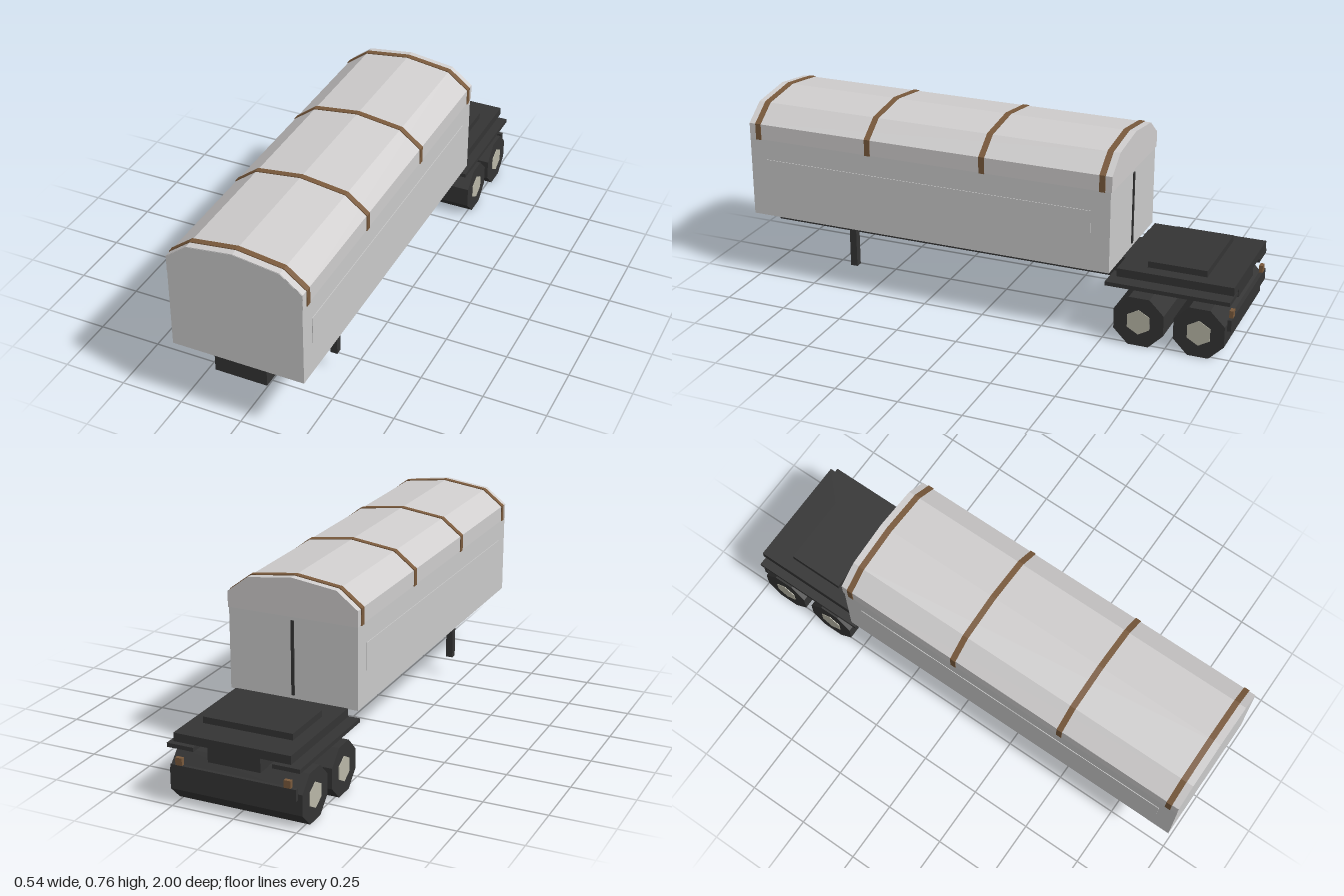
import * as THREE from 'three';

const mat = (name, color) => {
  const m = new THREE.MeshStandardMaterial({ color });
  m.name = name;
  return m;
};

export function createModel() {
  const group = new THREE.Group();
  const bodyGrey = mat('body grey', 0xcbcbcb);
  const tarpGrey = mat('tarp grey', 0xd0cece);
  const dark = mat('chassis black', 0x343434);
  const brown = mat('strap brown', 0x7a5a3c);
  const hubGrey = mat('hub grey', 0xbab8a8);

  const add = (name, geometry, material) => {
    const mesh = new THREE.Mesh(geometry, material);
    mesh.name = name;
    group.add(mesh);
    return mesh;
  };
  // Box from its low and high limits on each axis
  const box = (name, material, [x0, x1], [y0, y1], [z0, z1]) => {
    const mesh = add(name, new THREE.BoxGeometry(x1 - x0, y1 - y0, z1 - z0), material);
    mesh.position.set((x0 + x1) / 2, (y0 + y1) / 2, (z0 + z1) / 2);
    return mesh;
  };
  // Arched cross-section points, right to left, grown outwards by d
  const arch = (bottom, d = 0) => [
    [0.266 + d, bottom], [0.266 + d, 0.667 + d * 0.6], [0.181 + d * 0.6, 0.732 + d],
    [0, 0.756 + d], [-0.181 - d * 0.6, 0.732 + d], [-0.266 - d, 0.667 + d * 0.6], [-0.266 - d, bottom],
  ].map(([x, y]) => new THREE.Vector2(x, y));
  const extrude = (name, material, points, z0, z1) => {
    const geometry = new THREE.ExtrudeGeometry(new THREE.Shape(points), { depth: z1 - z0, bevelEnabled: false });
    geometry.translate(0, 0, z0);
    return add(name, geometry, material);
  };

  // Cargo body and arched tarp
  extrude('cargoBody', bodyGrey, arch(0.278, -0.002), -0.525, 1);
  extrude('tarp', tarpGrey, arch(0.604), -0.53, 0.999);

  // Straps across the tarp
  for (const z of [0.96, 0.476, -0.008, -0.492]) {
    const band = [...arch(0.602, 0.003), ...arch(0.602, -0.001).reverse()];
    extrude('strap', brown, band, z - 0.0115, z + 0.0115);
  }

  // Rear door seam
  box('doorSeam', dark, [-0.006, 0.006], [0.295, 0.59], [-0.53, -0.524]);

  // Chassis beam and rear deck
  box('chassisBeam', dark, [-0.105, 0.105], [0.194, 0.279], [-0.985, 0.98]);
  box('rearDeck', dark, [-0.233, 0.233], [0.257, 0.29], [-1, -0.545]);
  box('deckPlatform', dark, [-0.18, 0.18], [0.29, 0.315], [-0.882, -0.65]);
  box('rearBumper', dark, [-0.25, 0.25], [0.12, 0.165], [-1, -0.985]);

  // Paired parts on both sides
  for (const s of [-1, 1]) {
    const span = (a, b) => (s > 0 ? [a, b] : [-b, -a]);
    box('sidePanel', bodyGrey, span(0.262, 0.2665), [0.41, 0.52], [-0.45, 0.93]);
    box('landingLeg', dark, span(0.171, 0.2), [0.087, 0.279], [0.573, 0.602]);
    box('mudguard', dark, span(0.157, 0.265), [0.227, 0.243], [-0.995, -0.51]);
    box('rearLight', brown, span(0.203, 0.23), [0.165, 0.194], [-1, -0.985]);
  }

  // Octagonal tyre rollers with six-sided hubs
  for (const z of [-0.647, -0.882]) {
    const tyre = new THREE.CylinderGeometry(0.1065, 0.1065, 0.53, 8).toNonIndexed();
    tyre.rotateY(Math.PI / 8).rotateZ(Math.PI / 2);
    tyre.computeVertexNormals();
    add('tyreRoller', tyre, dark).position.set(0, 0.0985, z);
    const hub = new THREE.CylinderGeometry(0.051, 0.051, 0.535, 6).toNonIndexed();
    hub.rotateY(Math.PI / 2).rotateZ(Math.PI / 2);
    hub.computeVertexNormals();
    add('wheelHub', hub, hubGrey).position.set(0, 0.0985, z);
  }
  return group;
}
